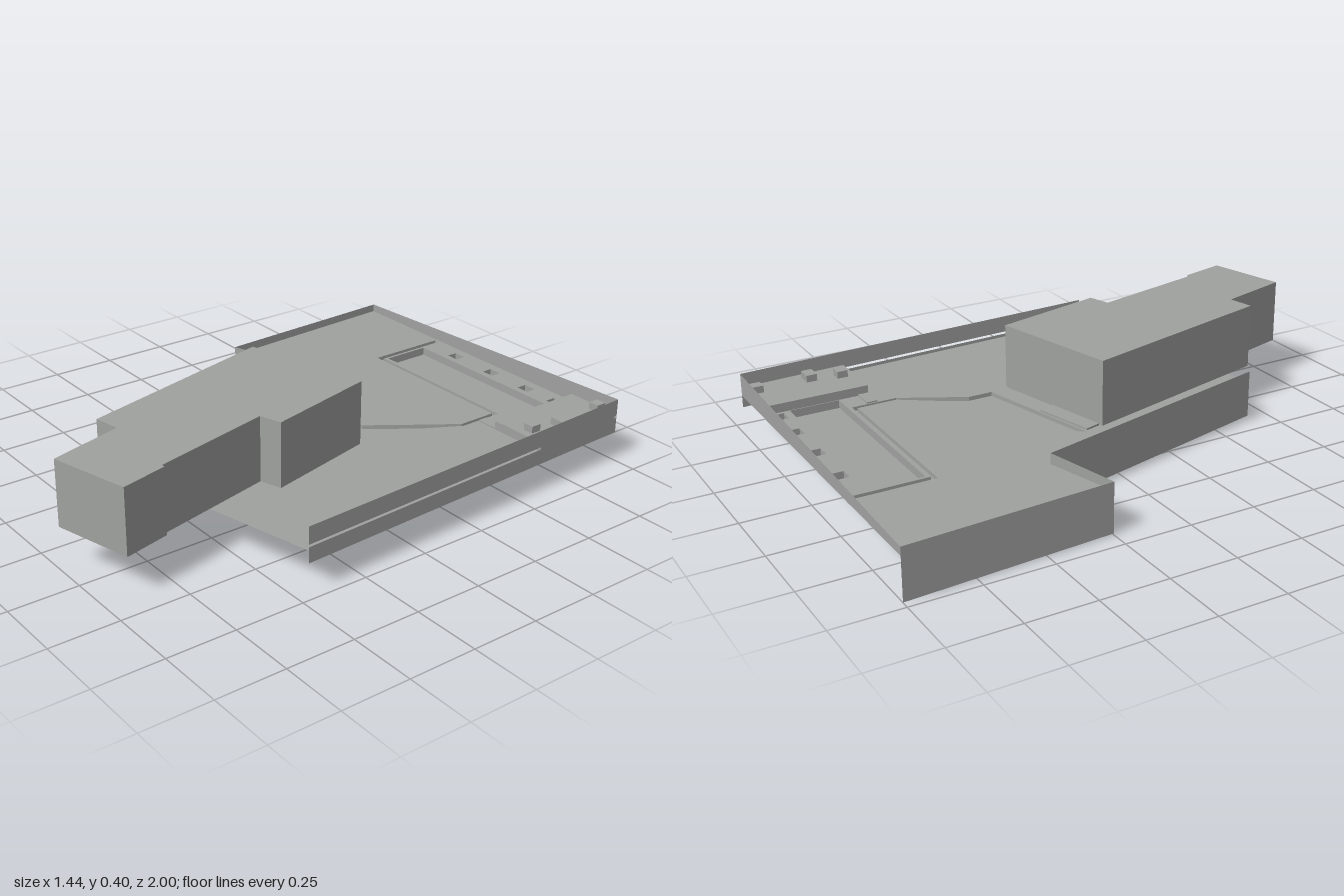
import * as THREE from 'three';
import { mergeGeometries } from 'three/addons/utils/BufferGeometryUtils.js';

const GROUND = 0.155;

// Flat horizontal surface from [x, z] points, with optional holes
function sheet(points, y, holes = []) {
  const toV = ([x, z]) => new THREE.Vector2(x, -z);
  const shape = new THREE.Shape(points.map(toV));
  holes.forEach((h) => shape.holes.push(new THREE.Path(h.map(toV))));
  return new THREE.ShapeGeometry(shape).rotateX(-Math.PI / 2).translate(0, y, 0);
}

// Upright strip along [x, z] points; bottom and top are numbers or one height per point
function strip(points, bottom, top, closed = false) {
  const at = (h, i) => (Array.isArray(h) ? h[i] : h);
  const pos = [], uv = [];
  const n = points.length;
  for (let i = 0; i < (closed ? n : n - 1); i++) {
    const j = (i + 1) % n;
    const [ax, az] = points[i], [bx, bz] = points[j];
    const a0 = [ax, at(bottom, i), az], a1 = [ax, at(top, i), az];
    const b0 = [bx, at(bottom, j), bz], b1 = [bx, at(top, j), bz];
    pos.push(...a0, ...b0, ...b1, ...a0, ...b1, ...a1);
    uv.push(0, 0, 1, 0, 1, 1, 0, 0, 1, 1, 0, 1);
  }
  const g = new THREE.BufferGeometry();
  g.setAttribute('position', new THREE.Float32BufferAttribute(pos, 3));
  g.setAttribute('uv', new THREE.Float32BufferAttribute(uv, 2));
  g.computeVertexNormals();
  return g;
}

// Outline walls closed by one flat face at height y
function shell(points, from, y) {
  return mergeGeometries([strip(points, from, y, true), sheet(points, y).toNonIndexed()]);
}

const rect = (x0, z0, x1, z1) => [[x0, z0], [x1, z0], [x1, z1], [x0, z1]];

export function createModel() {
  const model = new THREE.Group();
  const grey = new THREE.MeshStandardMaterial({ color: 0xa0a2a0, side: THREE.DoubleSide });
  grey.name = 'concrete grey';
  const add = (name, geometry) => {
    const mesh = new THREE.Mesh(geometry, grey);
    mesh.name = name;
    model.add(mesh);
    return mesh;
  };

  // Main building, open underneath
  const building = [
    [-0.235, 0.025], [0.24, -0.14], [0.34, 0.28], [0.26, 0.305], [0.365, 0.75],
    [0.378, 0.75], [0.42, 0.92], [0.13, 0.995], [0.055, 0.725], [-0.04, 0.745],
  ];
  // The long sides run parallel, so the back wall is square to them
  building[0] = [-0.235, -0.02];
  add('building', shell(building, GROUND, 0.395));

  // Sunken basin, path channel and small pits cut into the ground
  const basin = rect(-0.285, -0.9, 0.435, -0.715);
  const channel = [
    [-0.315, -0.99], [-0.295, -0.99], [-0.295, -0.7], [0.35, -0.7], [0.35, -0.53],
    [0.225, -0.3], [0.225, -0.21], [-0.25, -0.09], [-0.14, -0.238], [0.13, -0.242],
    [0.2, -0.34], [0.335, -0.535], [0.335, -0.685], [-0.315, -0.685],
  ];
  const pits = [-0.14, 0.06, 0.25, 0.4].map((x) => rect(x - 0.025, -0.965, x + 0.025, -0.925));

  // Ground, following the back and sides of the building
  const ground = [
    [-0.72, -1], [0.65, -1], [0.72, 0.455], [0.317, 0.548], [0.26, 0.305], [0.34, 0.28],
    [0.24, -0.14], [-0.235, -0.02], [-0.07, 0.632], [-0.17, 0.655], [-0.41, -0.325], [-0.68, -0.25],
  ];
  add('ground', sheet(ground, GROUND, [basin, channel, ...pits]));
  add('basin', shell(basin, GROUND, 0.125));
  add('pathChannel', shell(channel, GROUND, 0.14));
  pits.forEach((p) => add('pit', shell(p, GROUND, 0.125)));

  // Boundary walls
  add('sideAndFrontWall', strip(
    [[-0.72, -1], [-0.68, -0.25], [-0.41, -0.325], [-0.17, 0.655]],
    [0.0, 0.005, 0.015, 0.018], [0.185, 0.188, 0.195, 0.195]));
  add('backWall', strip([[-0.72, -1], [0.65, -1]], GROUND, [0.185, 0.24]));
  const leftEdge = [[0.65, -1], [0.72, 0.455]];
  add('lowerLeftWall', strip(leftEdge, 0.11, 0.167));
  add('upperLeftWall', strip(leftEdge, 0.176, 0.24));

  // Raised corner terrace with low boxes on it
  add('terrace', shell(
    [[0.438, -0.99], [0.648, -0.99], [0.666, -0.6], [0.438, -0.6]], GROUND, 0.188));
  [[0.585, -0.965, 0.04], [0.6, -0.76, 0.055], [0.57, -0.65, 0.04]].forEach(([x, z, w]) => {
    const box = add('terraceBox', new THREE.BoxGeometry(w, 0.026, 0.04));
    box.position.set(x, 0.201, z);
  });
  add('terraceStep', shell(rect(0.355, -0.64, 0.438, -0.6), GROUND, 0.16));

  // Entrance step along the back of the building
  add('entranceStep', shell(
    [[-0.24, -0.085], [-0.02, -0.143], [0.0, -0.085], [-0.225, -0.028]], GROUND, 0.162));

  return model;
}
